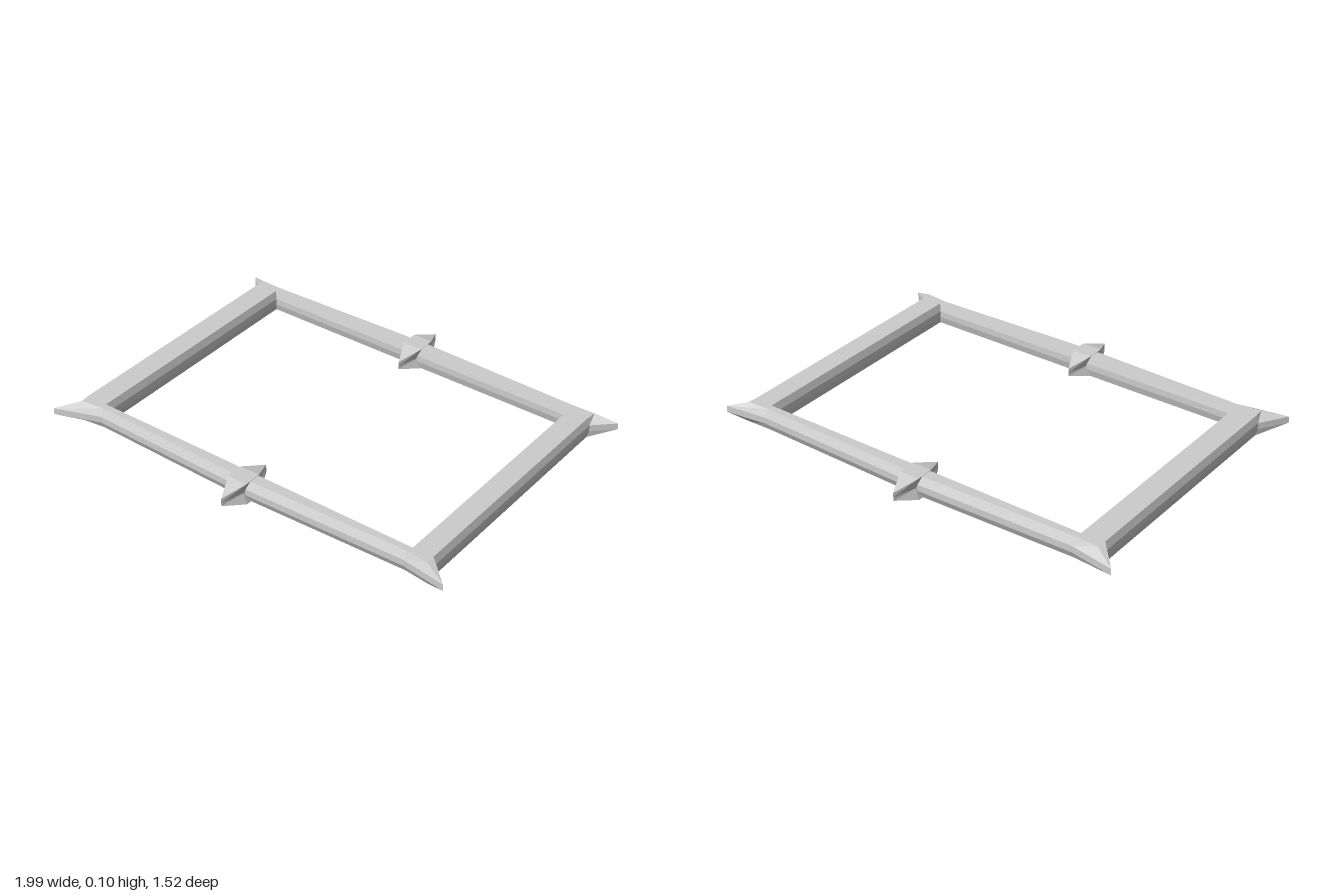
import * as THREE from 'three';

const material = new THREE.MeshStandardMaterial({ color: 0xcccccc, flatShading: true });

// Joins rings of [x, y, z] points; each ring is a closed loop, running from +x towards +z.
function loft(name, rings, closed) {
  const pos = [];
  const n = rings[0].length;
  const last = closed ? rings.length : rings.length - 1;
  for (let r = 0; r < last; r++) {
    const p = rings[r], q = rings[(r + 1) % rings.length];
    for (let i = 0; i < n; i++) {
      const j = (i + 1) % n;
      pos.push(...p[i], ...p[j], ...q[j], ...p[i], ...q[j], ...q[i]);
    }
  }
  const geo = new THREE.BufferGeometry();
  geo.setAttribute('position', new THREE.Float32BufferAttribute(pos, 3));
  geo.computeVertexNormals();
  const mesh = new THREE.Mesh(geo, material);
  mesh.name = name;
  return mesh;
}

const H = 0.1, LOW = 0.035, HIGH = 0.065;

// Outer outline: kind of point, x, z
const outline = [
  ['side', 0.905, 0.575], ['tip', 0.995, 0.655], ['joint', 0.79, 0.625],
  ['middle', -0.01, 0.648],
  ['joint', -0.79, 0.625], ['tip', -0.995, 0.7], ['side', -0.915, 0.575],
  ['side', -0.915, -0.575], ['tip', -0.995, -0.67], ['joint', -0.79, -0.635],
  ['middle', -0.015, -0.655],
  ['joint', 0.79, -0.635], ['tip', 0.995, -0.66], ['side', 0.905, -0.575],
];

// Bevelled frame with a pointed horn at each corner
function frame() {
  const outer = (y) => outline.map(([, x, z]) => [x, y, z]);
  const outerFlat = (y) => outline.map(([kind, x, z]) => {
    const sx = Math.sign(x), sz = Math.sign(z);
    if (kind === 'side') return [x - sx * 0.01, y, z];
    if (kind === 'tip') return [sx * 0.9, y, sz * 0.62];
    return [x, y, z - sz * 0.018];
  });
  const inner = (y, inset) => outline.map(([kind, x, z]) => [
    kind === 'middle' ? x : Math.sign(x) * (0.79 + inset), y,
    z > 0 ? 0.568 + inset : -0.575 - inset]);
  return loft('frame', [
    outerFlat(H), outer(HIGH), outer(LOW), outerFlat(0),
    inner(0, 0.01), inner(LOW, 0), inner(HIGH, 0), inner(H, 0.01),
  ], true);
}

// Double-ended spike across a bar, with flanks pinched at mid height
function spike(name, x, z) {
  const root = 0.04, tip = 0.144, rise = 0.002;
  const ring = (w, yRoot, yTip) => [
    [w, yRoot, -root], [w, yRoot, root], [0, yTip, tip],
    [-w, yRoot, root], [-w, yRoot, -root], [0, yTip, -tip]];
  const spine = (y) => ring(0, y, y).map(([, , pz]) => [0, y, Math.sign(pz) * root]);
  const mesh = loft(name, [
    spine(H + rise), ring(0.047, H + rise, 0.07), ring(0.03, 0.05, 0.05),
    ring(0.047, 0, 0.033), spine(0),
  ], false);
  mesh.position.set(x, 0, z);
  return mesh;
}

export function createModel() {
  const model = new THREE.Group();
  model.name = 'spikedFrame';
  model.add(frame());
  model.add(spike('frontSpike', -0.01, 0.615));
  model.add(spike('backSpike', -0.017, -0.621));
  return model;
}
